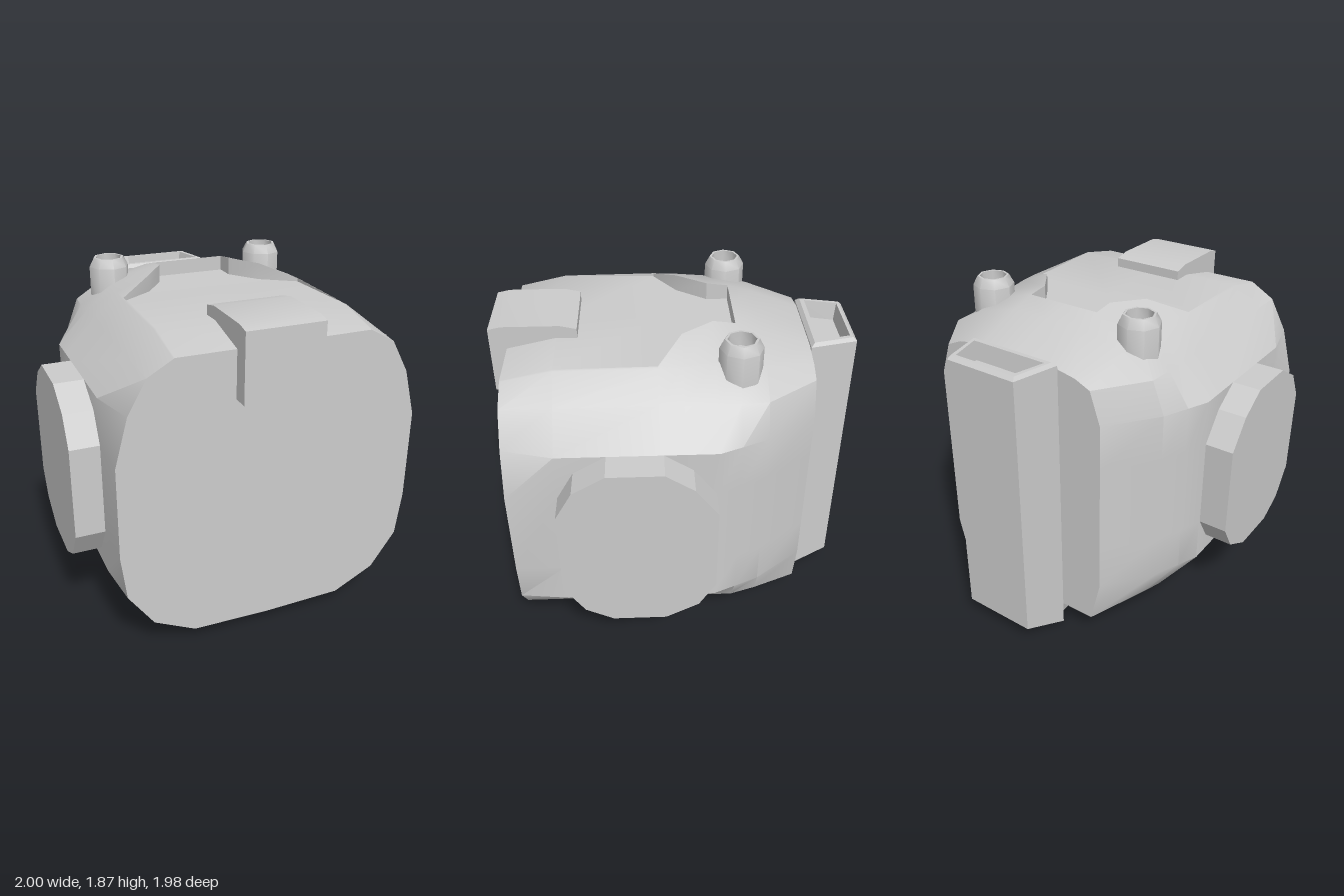
import * as THREE from 'three';
import { toCreasedNormals } from 'three/addons/utils/BufferGeometryUtils.js';

const material = new THREE.MeshStandardMaterial({ color: 0xcccccc });

function part(name, geometry, crease = 0.5) {
  const mesh = new THREE.Mesh(toCreasedNormals(geometry, crease), material);
  mesh.name = name;
  return mesh;
}

// Full ring from the points of its +x half
const mirrorRing = half => [
  ...half,
  ...half.filter(p => p[0] > 0).reverse().map(([x, y, z]) => [-x, y, z]),
];

// Skin a series of rings and close both ends with fans
function loft(rings) {
  const n = rings[0].length, last = rings.length - 1, index = [];
  const centre = ring => [0, 1, 2].map(k => ring.reduce((sum, p) => sum + p[k], 0) / n);
  const points = [...rings.flat(), centre(rings[0]), centre(rings[last])];
  const start = points.length - 2, end = points.length - 1;
  for (let j = 0; j < n; j++) {
    const k = (j + 1) % n;
    for (let s = 0; s < last; s++) {
      const a = s * n + j, b = s * n + k;
      index.push(a, b, a + n, b, b + n, a + n);
    }
    index.push(start, k, j, end, last * n + j, last * n + k);
  }
  const geometry = new THREE.BufferGeometry();
  geometry.setAttribute('position', new THREE.Float32BufferAttribute(points.flat(), 3));
  geometry.setIndex(index);
  return geometry.toNonIndexed();
}

// Extrude a (z, y) outline across x, ending at x = right
function sidePrism(outline, width, right) {
  const shape = new THREE.Shape(outline.map(p => new THREE.Vector2(...p)));
  return new THREE.ExtrudeGeometry(shape, { depth: width, bevelEnabled: false })
    .rotateY(-Math.PI / 2)
    .translate(right, 0, 0);
}

// Body section: recess floor and rim, shoulder, then the side outline
function bodySection({ z, edge, floor, rim, shoulder, side }) {
  const half = [[0, floor], [edge, floor], [edge, rim], shoulder, ...side, [0, side.at(-1)[1] - 0.01]];
  return mirrorRing(half.map(([x, y]) => [x, y, z]));
}

export function createModel() {
  const model = new THREE.Group();

  // Body with the stepped recess on top
  const frontSide = [[0.67, 1.6], [0.77, 1.42], [0.84, 1.16], [0.84, 0.65], [0.81, 0.4], [0.67, 0.2], [0.44, 0.085]];
  const midSide = [[0.67, 1.6], [0.84, 1.42], [0.84, 1.16], [0.84, 0.65], [0.84, 0.4], [0.67, 0.2], [0.44, 0.085]];
  const rearSide = [[0.66, 1.6], [0.73, 1.42], [0.73, 1.16], [0.73, 0.65], [0.73, 0.4], [0.66, 0.24], [0.42, 0.085]];
  const backSide = [[0.47, 1.6], [0.53, 1.42], [0.53, 1.16], [0.53, 0.65], [0.53, 0.4], [0.47, 0.14], [0.3, 0.14]];
  const sections = [
    { z: 0.9, edge: 0.53, floor: 1.68, rim: 1.68, shoulder: [0.535, 1.677], side: frontSide },
    { z: 0.63, edge: 0.53, floor: 1.74, rim: 1.74, shoulder: [0.54, 1.735], side: midSide },
    { z: 0.1, edge: 0.53, floor: 1.725, rim: 1.745, shoulder: [0.54, 1.74], side: midSide },
    { z: -0.03, edge: 0.34, floor: 1.725, rim: 1.82, shoulder: [0.53, 1.74], side: midSide },
    { z: -0.2, edge: 0.22, floor: 1.725, rim: 1.825, shoulder: [0.5, 1.74], side: midSide },
    { z: -0.32, edge: 0.22, floor: 1.725, rim: 1.81, shoulder: [0.5, 1.73], side: midSide.map(([x, y]) => [Math.min(x, 0.79), y]) },
    { z: -0.32, edge: 0.22, floor: 1.81, rim: 1.81, shoulder: [0.5, 1.73], side: midSide.map(([x, y]) => [Math.min(x, 0.79), y]) },
    { z: -0.46, edge: 0.22, floor: 1.77, rim: 1.77, shoulder: [0.48, 1.7], side: rearSide },
    { z: -0.73, edge: 0.22, floor: 1.67, rim: 1.67, shoulder: [0.38, 1.64], side: backSide },
  ];
  model.add(part('body', loft(sections.map(bodySection)), 0.55));

  // Twelve-sided pods on both sides
  const podOutline = [
    [0.63, 0.65], [0.63, 1.16], [0.54, 1.32], [0.37, 1.42], [0.08, 1.42], [-0.07, 1.32],
    [-0.19, 1.16], [-0.19, 0.65], [-0.1, 0.5], [0.08, 0.4], [0.37, 0.4], [0.52, 0.48],
  ];
  model.add(part('leftPod', sidePrism(podOutline, 0.25, 1), 0.2));
  model.add(part('rightPod', sidePrism(podOutline, 0.25, -0.75), 0.2));

  // Clip folded over the front top edge
  const clipOutline = [
    [0.88, 1.42], [0.99, 1.42], [0.99, 1.795], [0.92, 1.81],
    [0.61, 1.81], [0.52, 1.79], [0.52, 1.735], [0.88, 1.66],
  ];
  model.add(part('frontClip', sidePrism(clipOutline, 0.43, 0.215), 0.3));

  // Hollow stubs on the shoulders
  const stubProfile = [[0.115, 1.55], [0.115, 1.82], [0.088, 1.87], [0.075, 1.87], [0.075, 1.79], [0, 1.79]]
    .map(p => new THREE.Vector2(...p));
  for (const side of [-1, 1]) {
    const stub = part(side > 0 ? 'leftStub' : 'rightStub', new THREE.LatheGeometry(stubProfile, 8), 0.8);
    stub.position.set(side * 0.488, 0, -0.325);
    model.add(stub);
  }

  // Back column with an open pocket at the top
  const column = [
    [[0.27, 0, -0.73], [0.215, 0.11, -0.99]],
    [[0.275, 1.68, -0.73], [0.215, 1.68, -0.99]],
    [[0.255, 1.7, -0.75], [0.205, 1.7, -0.97]],
    [[0.23, 1.7, -0.775], [0.185, 1.7, -0.955]],
    [[0.21, 1.6, -0.79], [0.17, 1.6, -0.945]],
  ];
  model.add(part('backColumn', loft(column.map(mirrorRing)), 0.2));

  // Wedge foot under the rear of the body
  const foot = [[-0.46, 0.07], [-0.62, 0], [-0.74, 0]].map(([z, bottom]) =>
    mirrorRing([[0.265, 0.16, z], [0.25 - (0.07 - bottom) * 0.5, bottom, z]]));
  model.add(part('rearFoot', loft(foot), 0.2));

  return model;
}
